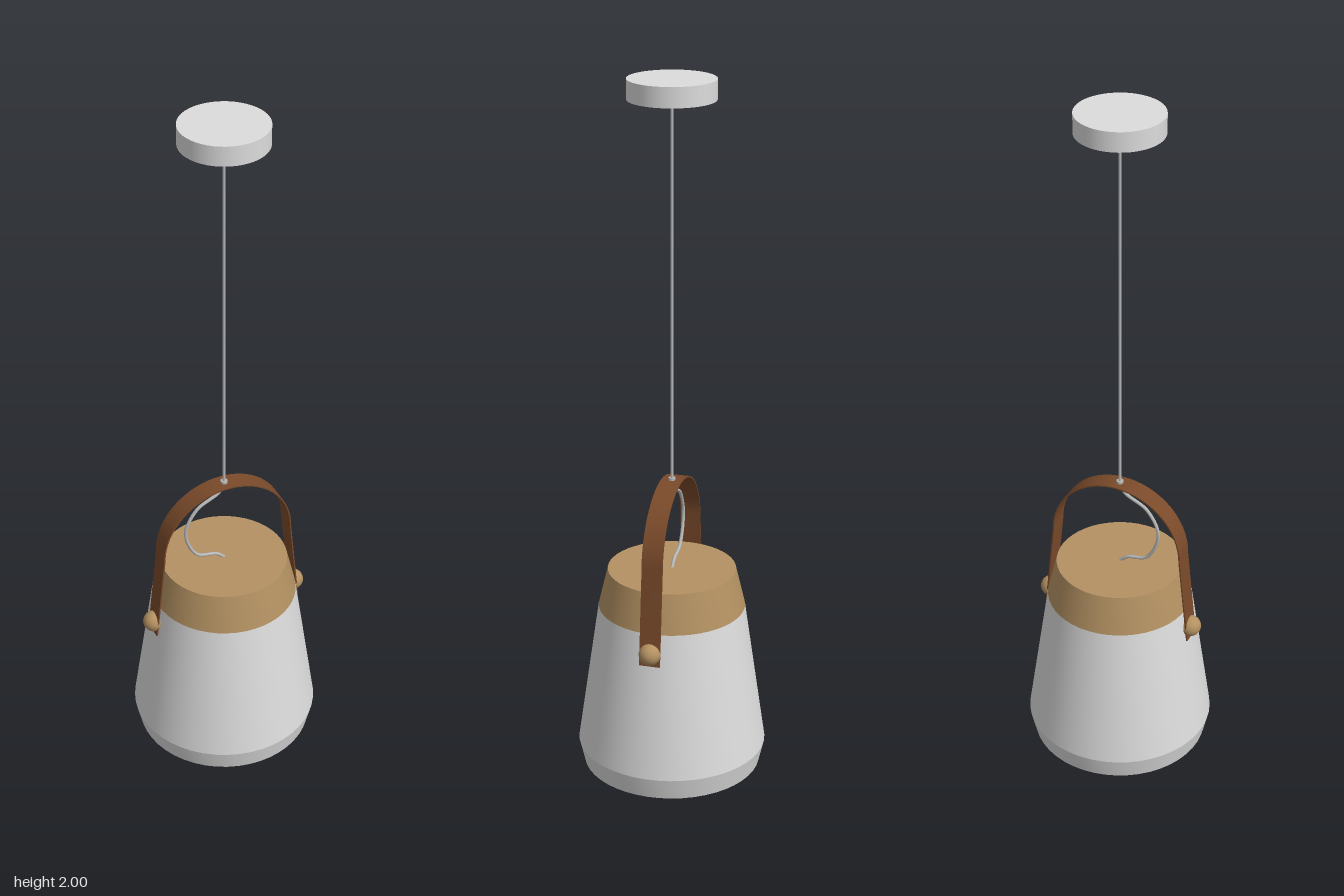
import * as THREE from 'three';
import { toCreasedNormals } from 'three/addons/utils/BufferGeometryUtils.js';

const V2 = (x, y) => new THREE.Vector2(x, y);
const V3 = (x, y, z = 0) => new THREE.Vector3(x, y, z);

function material(name, color, side = THREE.FrontSide) {
  const m = new THREE.MeshStandardMaterial({ color, side });
  m.name = name;
  return m;
}

export function createModel() {
  const group = new THREE.Group();
  group.name = 'pendantLamp';
  const paint = material('light grey paint', 0xdcdcdc, THREE.DoubleSide);
  const wood = material('wood', 0xb39162, THREE.DoubleSide);
  const leather = material('brown leather', 0x7a4a2a);
  const cable = material('grey cable', 0xb8b8b8);

  const add = (name, geometry, mat, x = 0, y = 0, z = 0) => {
    const mesh = new THREE.Mesh(geometry, mat);
    mesh.name = name;
    mesh.position.set(x, y, z);
    group.add(mesh);
    return mesh;
  };
  const lathe = (points) => toCreasedNormals(new THREE.LatheGeometry(points, 48), 0.3);

  // Open conical shade with a turned-in lower rim
  add('shade', lathe([V2(0.257, 0), V2(0.272, 0.065), V2(0.21, 0.49)]), paint);

  // Wooden cap with a flat top
  add('woodenCap', lathe([V2(0.21, 0.49), V2(0.183, 0.603), V2(0, 0.603)]), wood);

  // Leather strap: two leaning legs joined by a round arch
  const arch = (r, leg) => {
    const pts = [V2(leg, 0.4)];
    for (let i = 0; i <= 32; i++) {
      const a = (i / 32) * Math.PI;
      pts.push(V2(r * Math.cos(a), 0.672 + r * Math.sin(a)));
    }
    pts.push(V2(-leg, 0.4));
    return pts;
  };
  const band = new THREE.Shape([...arch(0.2, 0.229), ...arch(0.196, 0.225).reverse()]);
  const strap = new THREE.ExtrudeGeometry(band, { depth: 0.06, bevelEnabled: false });
  strap.translate(0, 0, -0.03);
  add('strap', toCreasedNormals(strap, 0.5), leather);

  // Round wooden knobs pinning the strap to the shade
  for (const side of [1, -1]) {
    add(side > 0 ? 'leftKnob' : 'rightKnob', new THREE.SphereGeometry(0.031, 24, 16), wood, side * 0.225, 0.435);
  }

  // Slack cable from the cap up to the strap
  const slack = new THREE.CatmullRomCurve3([
    V3(0, 0.6), V3(-0.025, 0.62), V3(-0.085, 0.638), V3(-0.12, 0.725),
    V3(-0.085, 0.8), V3(-0.015, 0.842), V3(0, 0.875),
  ]);
  add('slackCable', new THREE.TubeGeometry(slack, 48, 0.005, 8), cable);

  // Straight cable with a grommet at the strap and a collar at the ceiling
  add('straightCable', new THREE.CylinderGeometry(0.004, 0.004, 1.08, 10), cable, 0, 1.41);
  add('grommet', new THREE.CylinderGeometry(0.01, 0.01, 0.016, 16), cable, 0, 0.871);
  add('collar', new THREE.CylinderGeometry(0.008, 0.006, 0.016, 16), cable, 0, 1.938);

  // Ceiling canopy
  add('canopy', new THREE.CylinderGeometry(0.12, 0.12, 0.055, 48), paint, 0, 1.9725);

  return group;
}
